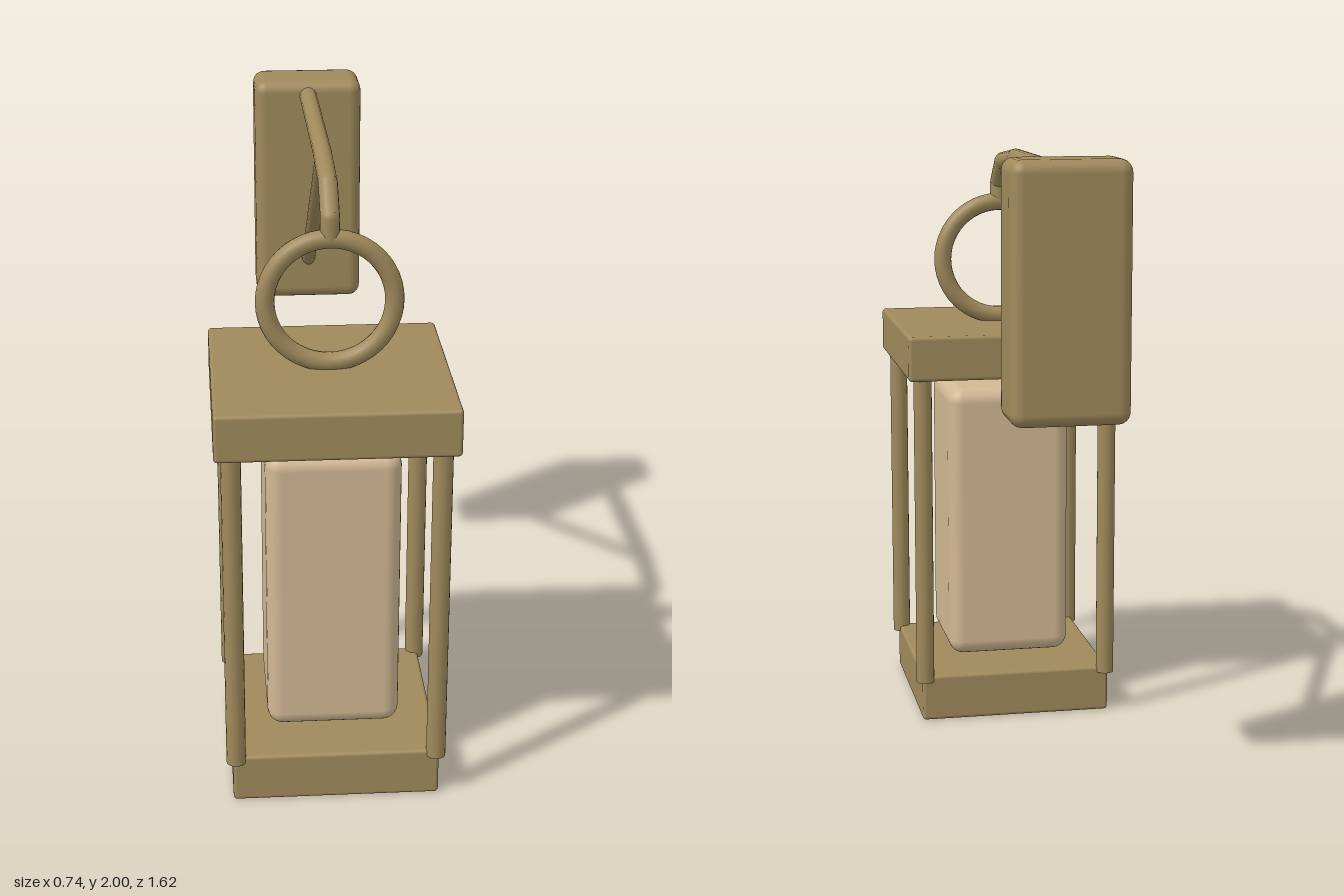
import * as THREE from 'three';
import { RoundedBoxGeometry } from 'three/addons/geometries/RoundedBoxGeometry.js';

export function createModel() {
  const brass = new THREE.MeshStandardMaterial({ color: 0xa08a5c });
  brass.name = 'brass';
  const glass = new THREE.MeshStandardMaterial({ color: 0xd2b894 });
  glass.name = 'warm glass';

  const model = new THREE.Group();
  model.name = 'wallLantern';
  const add = (name, geometry, material, x, y, z, parent = model) => {
    const mesh = new THREE.Mesh(geometry, material);
    mesh.name = name;
    mesh.position.set(x, y, z);
    parent.add(mesh);
    return mesh;
  };

  // Box given by its bottom and top heights
  const block = (name, w, y0, y1, d, radius, material, z, parent) =>
    add(name, new RoundedBoxGeometry(w, y1 - y0, d, 3, radius), material, 0, (y0 + y1) / 2, z, parent);

  // Round bar between two points in the x = 0 plane, each given as [z, y]
  const bar = (name, a, b, radius, parent) => {
    const p = new THREE.Vector3(0, a[1], a[0]);
    const q = new THREE.Vector3(0, b[1], b[0]);
    const dir = q.clone().sub(p);
    const mid = p.clone().add(q).multiplyScalar(0.5);
    const mesh = add(name, new THREE.CylinderGeometry(radius, radius, dir.length(), 16), brass, 0, mid.y, mid.z, parent);
    mesh.quaternion.setFromUnitVectors(new THREE.Vector3(0, 1, 0), dir.normalize());
  };

  // Wall plate
  block('wallPlate', 0.37, 1.208, 2, 0.21, 0.04, brass, -0.705);

  // Bent arm with rounded joints, and its diagonal brace
  const arm = new THREE.Group();
  arm.name = 'arm';
  model.add(arm);
  const path = [[-0.65, 1.95], [0.11, 1.95], [0.35, 1.925], [0.442, 1.845], [0.442, 1.78]];
  for (let i = 0; i < path.length - 1; i++) {
    bar('armSegment', path[i], path[i + 1], 0.03, arm);
    if (i > 0) add('armJoint', new THREE.SphereGeometry(0.03, 16, 12), brass, 0, path[i][1], path[i][0], arm);
  }
  bar('brace', [0.12, 1.945], [-0.64, 1.335], 0.024, arm);

  // Lantern hanging from the arm
  const lantern = new THREE.Group();
  lantern.name = 'lantern';
  lantern.position.z = 0.44;
  model.add(lantern);
  add('hangingRing', new THREE.TorusGeometry(0.2, 0.03, 14, 48), brass, 0, 1.578, 0, lantern);
  block('cap', 0.744, 1.208, 1.36, 0.744, 0.012, brass, 0, lantern);
  block('base', 0.66, 0, 0.16, 0.66, 0.012, brass, 0, lantern);
  block('glassBody', 0.424, 0.19, 1.148, 0.424, 0.05, glass, 0, lantern);

  // Corner posts
  for (const x of [-1, 1]) {
    for (const z of [-1, 1]) {
      add('cornerPost', new THREE.CylinderGeometry(0.031, 0.031, 1.1, 16), brass, x * 0.32, 0.69, z * 0.32, lantern);
    }
  }
  return model;
}
